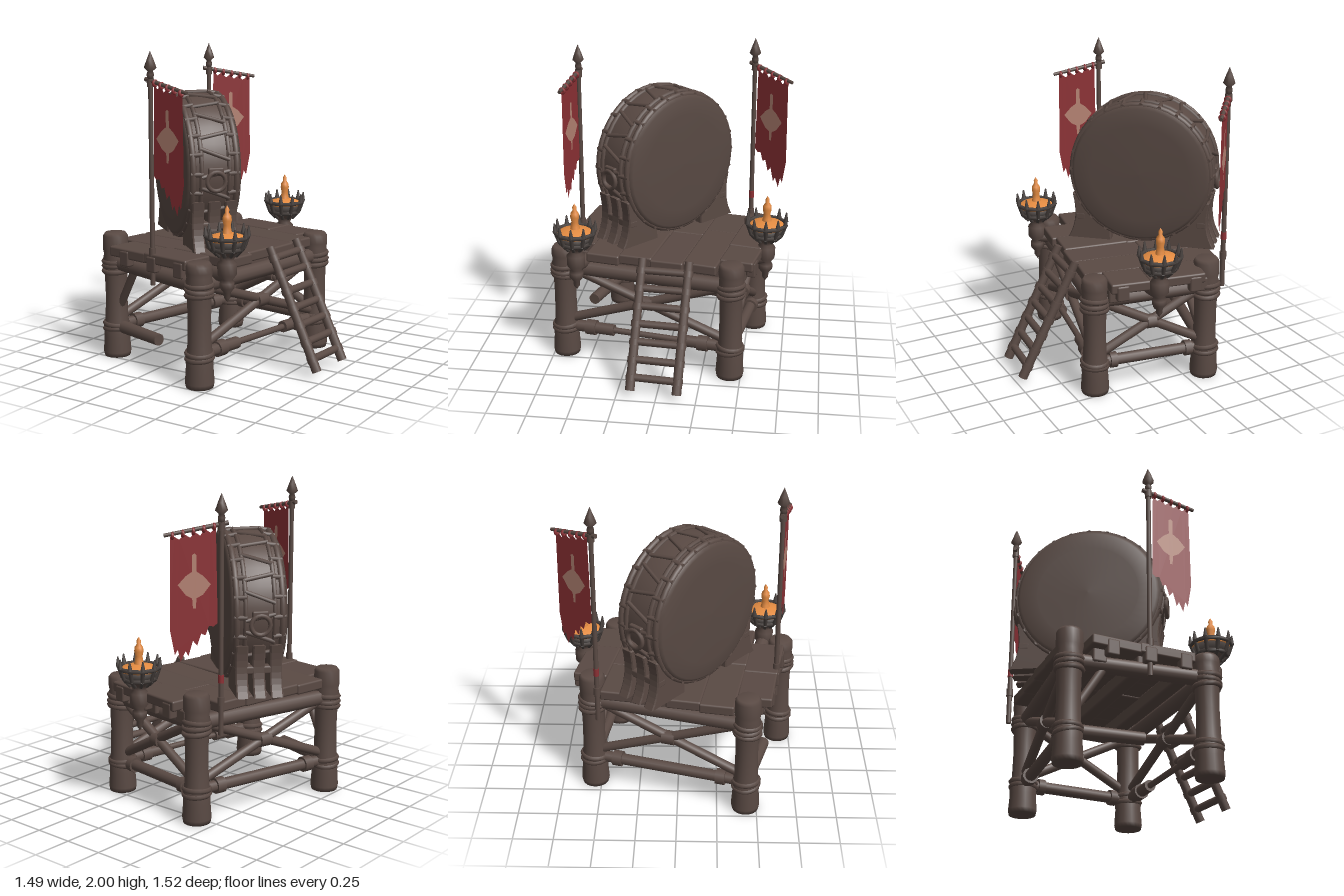
import * as THREE from 'three';
import { RoundedBoxGeometry } from 'three/addons/geometries/RoundedBoxGeometry.js';

const mat = (name, color, side = THREE.FrontSide) => {
  const m = new THREE.MeshStandardMaterial({ color, side });
  m.name = name;
  return m;
};
const V = (x, y, z) => new THREE.Vector3(x, y, z);

export function createModel() {
  const wood = mat('dark wood', 0x5a4a44);
  const hide = mat('drum hide', 0x584943);
  const iron = mat('blackened iron', 0x47403d);
  const red = mat('red cloth', 0x8d3135, THREE.DoubleSide);
  const tan = mat('faded emblem', 0xb58373, THREE.DoubleSide);
  const fire = mat('fire', 0xe58c42);

  let seed = 7;
  const rand = () => ((seed = (seed * 16807) % 2147483647) / 2147483647) - 0.5;

  const root = new THREE.Group();
  const group = (name, parent = root) => {
    const g = new THREE.Group();
    g.name = name;
    parent.add(g);
    return g;
  };
  const add = (parent, name, geo, m, pos = [0, 0, 0], rot = [0, 0, 0]) => {
    const mesh = new THREE.Mesh(geo, m);
    mesh.name = name;
    mesh.position.set(...pos);
    mesh.rotation.set(...rot);
    parent.add(mesh);
    return mesh;
  };
  // Round bar between two points
  const bar = (parent, name, a, b, r1, r2 = r1, m = wood, seg = 12) => {
    const d = b.clone().sub(a);
    const mesh = add(parent, name, new THREE.CylinderGeometry(r2, r1, d.length(), seg), m);
    mesh.position.copy(a).addScaledVector(d, 0.5);
    mesh.quaternion.setFromUnitVectors(V(0, 1, 0), d.normalize());
    return mesh;
  };
  const lathe = (pts, seg = 20) => new THREE.LatheGeometry(pts.map(p => new THREE.Vector2(...p)), seg);

  // Legs: flared logs with rope wraps
  const legs = [[-0.65, 0.43, 0.82], [0.16, 0.67, 0.77], [0.35, -0.43, 0.78], [-0.38, -0.54, 0.81]];
  const frame = group('frame');
  for (const [x, z, top] of legs) {
    add(frame, 'leg', lathe([[0, 0], [0.084, 0], [0.09, 0.03], [0.083, 0.13], [0.086, 0.2], [0.074, 0.25], [0.07, 0.42],
      [0.074, 0.56], [0.084, 0.64], [0.076, 0.68], [0.082, 0.71], [0.08, top - 0.02], [0.066, top], [0, top]]), wood, [x, 0, z]);
    for (const [y, n] of [[0.18, 2], [0.57, 3]])
      for (let i = 0; i < n; i++)
        add(frame, 'ropeWrap', new THREE.TorusGeometry(0.077, 0.017, 6, 20), wood,
          [x, y + i * 0.032, z], [Math.PI / 2 + rand() * 0.25, rand() * 0.25, 0]);
  }

  // Beams and cross braces on each side
  const at = (i, y) => V(legs[i % 4][0], y, legs[i % 4][1]);
  for (let i = 0; i < 4; i++) {
    bar(frame, 'topBeam', at(i, 0.625), at(i + 1, 0.625), 0.05);
    const span = (t, y) => at(i, y).lerp(at(i + 1, y), t);
    if (i === 0) {
      bar(frame, 'brokenBeam', at(0, 0.2), span(0.53, 0.2), 0.042, 0.038);
      bar(frame, 'shortBrace', span(0.05, 0.34), span(0.24, 0.6), 0.026);
      continue;
    }
    // The side with the ladder has a worn, thin middle in its low beam
    bar(frame, 'lowBeam', at(i, 0.2), at(i + 1, 0.2), i === 1 ? 0.02 : 0.036);
    if (i === 1) for (const [a, b] of [[0, 0.3], [0.7, 1]]) bar(frame, 'lowBeamEnd', span(a, 0.2), span(b, 0.2), 0.038);
    for (const t of [0.16, 0.84]) bar(frame, 'beamKnot', span(t - 0.03, 0.2), span(t + 0.03, 0.2), 0.05);
    bar(frame, 'crossBrace', span(0.05, 0.26), span(0.92, 0.6), 0.03);
    bar(frame, 'crossBrace', span(0.95, 0.26), span(0.08, 0.6), 0.03);
    bar(frame, 'braceKnot', span(0.46, 0.43), span(0.54, 0.43), 0.045);
  }

  // Deck: rows of worn planks, each split in two, on joists
  const deck = group('deck');
  deck.position.set(-0.13, 0, 0.01);
  deck.rotation.y = -0.17;
  const rows = [[-0.28, 0.32], [-0.45, 0.43], [-0.46, 0.45], [-0.47, 0.44], [-0.48, 0.47], [-0.35, 0.31]];
  rows.forEach(([x0, x1], i) => {
    const mid = (x0 + x1) / 2 + rand() * 0.25;
    for (const [a, b] of [[x0, mid], [mid, x1]])
      add(deck, 'plank', new RoundedBoxGeometry(b - a + 0.01, 0.065, 0.217, 2, 0.012), wood,
        [(a + b) / 2, 0.733 + rand() * 0.012, -0.525 + i * 0.21], [rand() * 0.04, rand() * 0.04, rand() * 0.02]);
  });
  for (const x of [-0.28, 0, 0.28])
    add(deck, 'joist', new RoundedBoxGeometry(0.09, 0.09, 1.16, 1, 0.012), wood, [x, 0.665, 0]);
  for (const x of [-0.22, 0.02, 0.25]) for (const z of [-0.61, 0.61])
    add(deck, 'edgeClamp', new RoundedBoxGeometry(0.08, 0.1, 0.06, 1, 0.012), wood, [x, 0.7, z]);

  // Drum: local z is the drum axis
  const drum = group('drum');
  drum.position.set(-0.268, 1.25, 0.064);
  drum.rotation.y = -0.71;
  add(drum, 'shell', lathe([[0.43, -0.155], [0.45, -0.145], [0.458, -0.07], [0.462, 0], [0.458, 0.07],
    [0.45, 0.145], [0.43, 0.155]], 48), wood, [0, 0, 0], [Math.PI / 2, 0, 0]);
  for (const s of [-1, 1]) {
    add(drum, 'drumHead', lathe([[0.452, 0.13], [0.45, 0.155], [0.427, 0.173], [0.32, 0.184], [0, 0.189]], 48),
      hide, [0, 0, 0], [s * Math.PI / 2, 0, 0]);
    add(drum, 'rim', new THREE.TorusGeometry(0.448, 0.02, 8, 48), wood, [0, 0, s * 0.138]);
    add(drum, 'hoop', new THREE.TorusGeometry(0.459, 0.015, 6, 48), wood, [0, 0, s * 0.088]);
  }
  const onShell = (a, z, r = 0.465) => V(Math.cos(a) * r, Math.sin(a) * r, z);
  const laces = 24, step = Math.PI * 2 / laces;
  for (let i = 0; i < laces; i++) {
    const a = i * step, skew = (i % 2 ? 0.3 : -0.15) * step;
    bar(drum, 'lacing', onShell(a - skew, -0.09), onShell(a + skew, 0.09), 0.013, 0.013, wood, 6);
    for (const s of [-1, 1])
      bar(drum, 'hideTie', onShell(a, s * 0.08, 0.464), onShell(a, s * 0.155, 0.45), 0.015, 0.015, wood, 6);
  }

  // Ring handles and cradle at both ends of the drum
  const cradle = new THREE.Shape();
  cradle.moveTo(0.2, -0.485);
  cradle.lineTo(0.48, -0.485);
  cradle.quadraticCurveTo(0.4, -0.36, 0.445, -0.18);
  cradle.lineTo(0.415, -0.18);
  cradle.absarc(0, 0, 0.45, -0.41, -1.1, true);
  for (const s of [-1, 1]) {
    const end = group(s > 0 ? 'leftDrumEnd' : 'rightDrumEnd', drum);
    end.rotation.y = s > 0 ? 0 : Math.PI;
    add(end, 'ringPlate', new RoundedBoxGeometry(0.03, 0.05, 0.1, 1, 0.01), wood, [0.465, 0.015, 0]);
    add(end, 'ringHandle', new THREE.TorusGeometry(0.058, 0.014, 8, 20), wood, [0.478, -0.045, 0], [0, Math.PI / 2, 0]);
    for (const z of [-0.105, 0, 0.105]) {
      const geo = new THREE.ExtrudeGeometry(cradle, { depth: 0.06, bevelSize: 0.006, bevelThickness: 0.008, bevelSegments: 1, curveSegments: 8 });
      add(end, 'cradlePost', geo, wood, [0, 0, z - 0.03]);
    }
    add(end, 'cradleTie', new RoundedBoxGeometry(0.07, 0.05, 0.29, 1, 0.012), wood, [0.4, -0.33, 0]);
  }

  // Banners on spear poles
  const emblem = new THREE.Shape([[0, 0.18], [0.013, 0.17], [0.013, 0.075], [0.05, 0.05], [0.096, 0], [0.05, -0.06],
    [0.013, -0.08], [0.008, -0.14], [-0.008, -0.14], [-0.013, -0.08], [-0.05, -0.06], [-0.096, 0], [-0.05, 0.05],
    [-0.013, 0.075], [-0.013, 0.17]].map(p => new THREE.Vector2(...p)));
  const banner = (x, z, angle, width) => {
    const g = group('banner');
    g.position.set(x, 0, z);
    g.rotation.y = angle;
    bar(g, 'pole', V(0, 0.57, 0), V(0, 1.88, 0), 0.016, 0.014);
    add(g, 'spearTip', lathe([[0, 1.83], [0.018, 1.83], [0.022, 1.86], [0.016, 1.88], [0.038, 1.9], [0.022, 1.945], [0, 2]], 8), wood);
    bar(g, 'crossbar', V(-0.04, 1.83, 0), V(width + 0.045, 1.765, 0), 0.014, 0.011);
    for (let i = 0; i < 5; i++) {
      const t = 0.08 + i * 0.21;
      add(g, 'clothLoop', new THREE.TorusGeometry(0.014, 0.01, 6, 12), red,
        [0.02 + width * t, 1.813 - 0.055 * t, 0], [0, Math.PI / 2, 0]);
    }
    for (const y of [0.78, 1.81]) bar(g, 'poleBinding', V(0, y - 0.025, 0), V(0, y + 0.025, 0), 0.022);
    // Cloth hangs straight, with a torn slanting hem
    const hem = [[0.02, 1.25], [0.1, 1.23], [0.2, 1.235], [0.27, 1.18], [0.36, 1.19], [0.44, 1.12], [0.53, 1.15],
      [0.62, 1.06], [0.68, 1.09], [0.78, 1.03], [0.84, 1.1], [0.9, 1.07], [1, 1.22]];
    const top = [[0.98, 1.755], [0.89, 1.755], [0.8, 1.74], [0.7, 1.77], [0.58, 1.75], [0.48, 1.78], [0.38, 1.76],
      [0.27, 1.795], [0.17, 1.775], [0.06, 1.805]];
    const cloth = new THREE.Shape([...hem, ...top].map(([s, y]) => new THREE.Vector2(0.015 + s * width, y)));
    add(g, 'cloth', new THREE.ShapeGeometry(cloth), red);
    for (const s of [-1, 1])
      add(g, 'emblem', new THREE.ShapeGeometry(emblem), tan, [0.015 + width * 0.5, 1.48, s * 0.004]);
    return g;
  };
  banner(-0.215, 0.62, -0.2, 0.265);
  const rearBanner = banner(-0.53, -0.495, 0.87, 0.285);
  bar(rearBanner, 'redBinding', V(0, 0.89, 0), V(0, 0.94, 0), 0.018, 0.018, red);

  // Fire baskets on brackets
  const brazier = (x, z, ax, az) => {
    const g = group('brazier');
    g.position.set(x, 0, z);
    bar(g, 'bracket', V(ax, 0.67, az), V(0, 0.69, 0), 0.045);
    add(g, 'stand', lathe([[0, 0.52], [0.02, 0.55], [0.022, 0.58], [0.045, 0.61], [0.045, 0.64], [0.034, 0.66],
      [0.058, 0.69], [0.06, 0.76], [0.04, 0.78], [0.055, 0.81], [0.085, 0.835], [0.09, 0.85], [0, 0.85]], 14), wood);
    add(g, 'bowl', lathe([[0, 0.84], [0.088, 0.845], [0.116, 0.9], [0, 0.9]], 20), iron);
    add(g, 'coals', lathe([[0, 0.9], [0.117, 0.901], [0.117, 0.912], [0.1, 0.925], [0.05, 0.94], [0, 0.945]], 18), fire);
    add(g, 'flame', lathe([[0.034, 0.93], [0.026, 0.96], [0.022, 0.99], [0.029, 1.02], [0.026, 1.045], [0.012, 1.065], [0.014, 1.085], [0, 1.11]], 9), fire);
    add(g, 'lowerHoop', new THREE.TorusGeometry(0.095, 0.014, 6, 10), iron, [0, 0.85, 0], [Math.PI / 2, 0, 0]);
    add(g, 'upperHoop', new THREE.TorusGeometry(0.125, 0.013, 6, 10), iron, [0, 0.92, 0], [Math.PI / 2, 0, 0]);
    for (let i = 0; i < 10; i++) {
      const c = Math.cos(i * Math.PI / 5), s = Math.sin(i * Math.PI / 5);
      const p = (r, y) => V(c * r, y, s * r);
      bar(g, 'basketRib', p(0.06, 0.81), p(0.1, 0.85), 0.012, 0.012, iron, 6);
      bar(g, 'basketRib', p(0.1, 0.85), p(0.126, 0.93), 0.012, 0.014, iron, 6);
      bar(g, 'basketSpike', p(0.126, 0.925), p(0.129, 0.985), 0.016, 0.004, iron, 6);
    }
  };
  brazier(0.29, 0.565, -0.14, -0.04);
  brazier(0.005, -0.625, 0, 0.14);

  // Ladder with knotted rails
  const ladder = group('ladder');
  const rails = [[V(0.35, 0.78, -0.165), V(0.715, 0.04, -0.13)], [V(0.33, 0.78, 0.13), V(0.69, 0.04, 0.165)]];
  for (const [a, b] of rails) {
    bar(ladder, 'rail', b, a, 0.03, 0.026);
    for (let i = 0; i < 7; i++) {
      const t = 0.07 + i * 0.135;
      bar(ladder, 'railKnot', a.clone().lerp(b, t), a.clone().lerp(b, t + 0.045), 0.034);
    }
  }
  for (let i = 0; i < 7; i++) {
    const [p, q] = rails.map(([a, b]) => a.clone().lerp(b, 0.09 + i * 0.135));
    const over = q.clone().sub(p).multiplyScalar(0.07);
    bar(ladder, 'rung', p.sub(over), q.add(over), 0.024);
  }

  return root;
}
